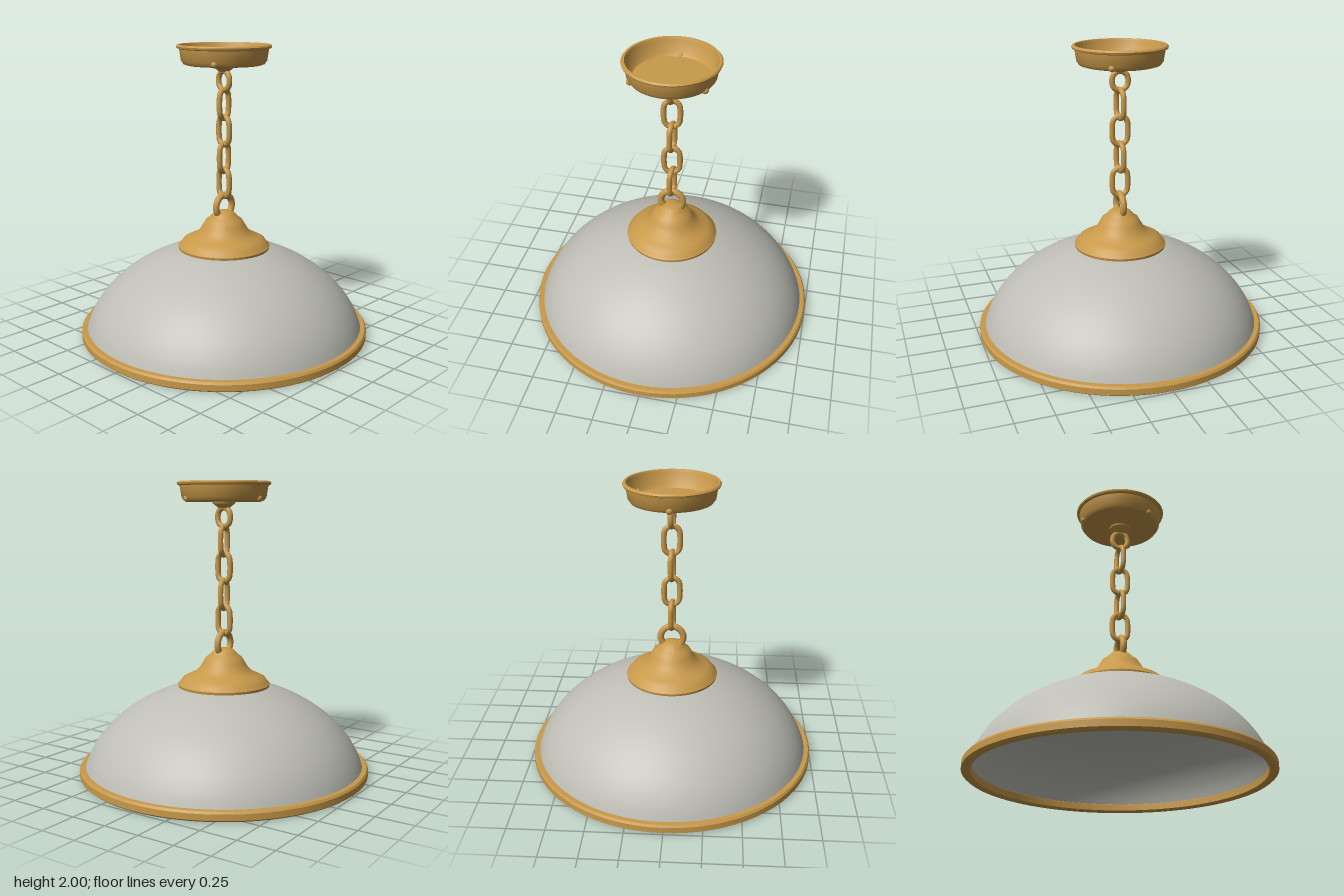
import * as THREE from 'three';
import { toCreasedNormals } from 'three/addons/utils/BufferGeometryUtils.js';

const brass = new THREE.MeshStandardMaterial({ color: 0xc8994a });
brass.name = 'brass';
const glass = new THREE.MeshStandardMaterial({ color: 0xbebeb6 });
glass.name = 'frosted grey';

export function createModel() {
  const group = new THREE.Group();
  group.name = 'pendantLamp';

  const add = (name, geometry, material, x = 0, y = 0, z = 0) => {
    const mesh = new THREE.Mesh(geometry, material);
    mesh.name = name;
    mesh.position.set(x, y, z);
    group.add(mesh);
    return mesh;
  };
  const v2 = (pts) => pts.map(([r, y]) => new THREE.Vector2(r, y));
  // Profiles run counterclockwise in (radius, height) so faces point outward
  const lathe = (pts, segments = 64) =>
    toCreasedNormals(new THREE.LatheGeometry(v2(pts), segments), 0.6);

  // Domed shade: outer curve up, inner curve back down, open at top and bottom
  const dome = new THREE.SplineCurve(v2([
    [0.965, 0.05], [0.925, 0.15], [0.855, 0.26], [0.75, 0.37],
    [0.62, 0.465], [0.48, 0.54], [0.32, 0.6], [0.19, 0.62],
  ])).getPoints(28);
  const outer = dome.map((p) => [p.x, p.y]);
  const inner = outer.map(([r, y]) => [r - 0.015, y - 0.015]).reverse();
  add('shade', lathe([...outer, ...inner, outer[0]], 80), glass);

  // Brass band around the lower edge
  add('shadeRim', lathe([
    [0.94, 0.01], [0.955, 0], [0.985, 0], [1, 0.012], [1, 0.052],
    [0.99, 0.066], [0.955, 0.066], [0.94, 0.055], [0.94, 0.01],
  ], 80), brass);

  // Flared cap on top of the shade, closed underneath
  add('cap', lathe([
    [0, 0.605], [0.315, 0.605], [0.318, 0.622], [0.3, 0.64], [0.285, 0.662],
    [0.25, 0.68], [0.205, 0.7], [0.17, 0.73], [0.145, 0.77], [0.125, 0.805],
    [0.1, 0.822], [0.085, 0.838], [0.07, 0.855], [0.045, 0.866], [0, 0.87],
  ]), brass);

  // Hanging ring that straddles the cap
  add('capRing', new THREE.TorusGeometry(0.078, 0.023, 10, 36), brass, 0, 0.9, 0);

  // Oval chain links in alternating planes
  const linkGeometry = (halfWidth, halfHeight) => {
    const straight = halfHeight - halfWidth;
    const pts = [];
    for (let i = 0; i < 16; i++) {
      const a = ((i + 0.5) / 16) * Math.PI * 2;
      pts.push(new THREE.Vector3(
        Math.cos(a) * halfWidth, Math.sin(a) * halfWidth + Math.sign(Math.sin(a)) * straight, 0));
    }
    return new THREE.TubeGeometry(new THREE.CatmullRomCurve3(pts, true), 40, 0.019, 8, true);
  };
  const link = linkGeometry(0.052, 0.097);
  [[1.605, 0.15], [1.425, 1.45], [1.24, 0.15], [1.065, 1.45]].forEach(([y, turn], i) => {
    add('chainLink' + (i + 1), link, brass, 0, y, 0).rotation.y = turn;
  });
  add('canopyLoop', linkGeometry(0.054, 0.063), brass, 0, 1.762, 0).rotation.y = 1.45;

  // Ceiling canopy: an open cup with a rolled lip
  add('canopy', lathe([
    [0, 1.865], [0.245, 1.865], [0.27, 1.873], [0.286, 1.895], [0.298, 1.972],
    [0.314, 1.978], [0.318, 1.99], [0.31, 2], [0.295, 2], [0.288, 1.985],
    [0.274, 1.91], [0.25, 1.885], [0, 1.885],
  ]), brass);
  add('canopyStem', lathe([
    [0, 1.822], [0.035, 1.822], [0.05, 1.835], [0.075, 1.853], [0.08, 1.868], [0, 1.868],
  ], 32), brass);

  // Three round screws evenly spaced on the canopy wall
  for (let i = 0; i < 3; i++) {
    const a = -Math.PI / 2 + (i * Math.PI * 2) / 3;
    add('canopyScrew' + (i + 1), new THREE.SphereGeometry(0.023, 14, 10), brass,
      Math.cos(a) * 0.273, 1.886, Math.sin(a) * 0.273);
  }
  return group;
}
